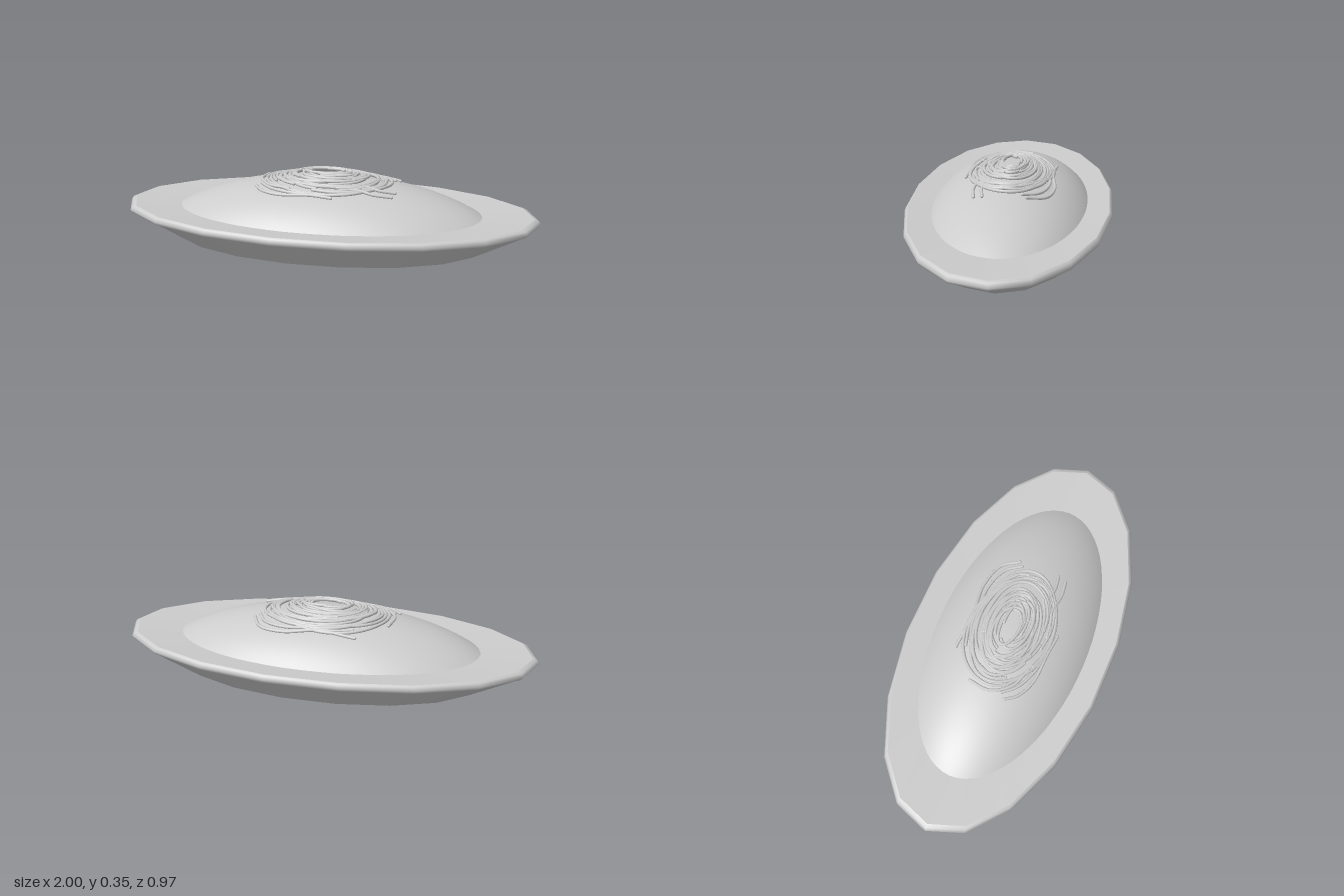
import * as THREE from 'three';

const material = new THREE.MeshStandardMaterial({ color: 0xcccccc, side: THREE.DoubleSide });
const DEPTH = 0.492; // plate depth relative to its width

// Dome height above the table at a point
const DOME = { a: 0.9, b: 0.387, top: 0.312, depth: 0.503 };
function domeY(x, z) {
  const u = Math.min(1, Math.hypot(x, z / DOME.depth) / DOME.a);
  return DOME.top - DOME.b * (1 - Math.sqrt(1 - u * u));
}

// Oval turned part from [radius, y] pairs, listed bottom to top
function oval(name, profile, sides, depth) {
  const points = profile.map(([r, y]) => new THREE.Vector2(r, y));
  const geometry = new THREE.LatheGeometry(points, sides, Math.PI / 2);
  geometry.scale(1, 1, depth);
  const mesh = new THREE.Mesh(geometry, material);
  mesh.name = name;
  return mesh;
}

function seeded(seed) {
  return () => {
    seed = (seed * 16807) % 2147483647;
    return seed / 2147483647;
  };
}

// One noodle through [x, z] points, resting on the dome; layer 0..1 is its place in the pile
const NOODLE = 0.0075;
function noodle(path, layer, segments) {
  const points = path.map(([x, z]) => {
    const pile = Math.max(0, 1 - (x / 0.34) ** 2 - (z / 0.23) ** 2);
    return new THREE.Vector3(x, domeY(x, z) + 0.004 + layer * (0.004 + 0.024 * pile), z);
  });
  const strand = new THREE.Group();
  strand.name = 'noodle';
  const curve = new THREE.CatmullRomCurve3(points);
  strand.add(new THREE.Mesh(new THREE.TubeGeometry(curve, segments, NOODLE, 8), material));
  for (const end of [points[0], points[points.length - 1]]) {
    const cap = new THREE.Mesh(new THREE.SphereGeometry(NOODLE, 8, 6), material);
    cap.position.copy(end);
    strand.add(cap);
  }
  return strand;
}

export function createModel() {
  const model = new THREE.Group();
  model.name = 'plateOfNoodles';

  // Faceted oval plate
  const plate = new THREE.Group();
  plate.name = 'plate';
  plate.add(
    oval('plateBottom', [[0, 0], [0.74, 0]], 18, DEPTH),
    oval('plateWall', [[0.74, 0], [0.975, 0.122]], 18, DEPTH),
    oval('plateRim', [[0.97, 0.12], [0.988, 0.126], [1, 0.141], [0.988, 0.156], [0.97, 0.162]], 18, DEPTH),
    oval('plateTop', [[0.6, 0.146], [0.97, 0.162]].reverse(), 18, DEPTH),
  );
  model.add(plate);

  // Smooth mound of food
  const profile = [];
  for (let i = 0; i <= 20; i++) {
    const r = 0.75 * (1 - i / 20);
    profile.push([r, domeY(r, 0)]);
  }
  model.add(oval('mound', profile, 64, DOME.depth));

  // Tangle of curled noodles: uneven arcs, the tight ones piled highest
  const noodles = new THREE.Group();
  noodles.name = 'noodles';
  const random = seeded(4711);
  const count = 30;
  for (let i = 0; i < count; i++) {
    const t = i / (count - 1);
    const rx = 0.29 - 0.2 * t, rz = 0.195 - 0.15 * t;
    const cx = (random() - 0.5) * 0.07, cz = (random() - 0.5) * 0.035;
    const start = random() * Math.PI * 2;
    const sweep = Math.PI * (0.9 + random() * 0.9);
    const tilt = (random() - 0.5) * 0.5;
    const drift = (random() - 0.5) * 0.25;
    const path = [];
    for (let k = 0; k <= 14; k++) {
      const a = start + (sweep * k) / 14;
      const s = 1 + drift * (k / 14 - 0.5) + 0.03 * Math.sin(3 * a + i);
      const x = rx * s * Math.cos(a), z = rz * s * Math.sin(a);
      path.push([
        THREE.MathUtils.clamp(cx + x * Math.cos(tilt) - z * Math.sin(tilt), -0.32, 0.3),
        THREE.MathUtils.clamp(cz + x * Math.sin(tilt) * 0.5 + z * Math.cos(tilt), -0.21, 0.205),
      ]);
    }
    noodles.add(noodle(path, 0.2 + 0.8 * t + 0.15 * (random() - 0.5), 56));
  }

  // Loose strands trailing over the edge of the tangle
  const loose = [
    [[-0.18, -0.21], [0, -0.2], [0.16, -0.215], [0.28, -0.18], [0.33, -0.1]],
    [[-0.05, -0.17], [0.14, -0.19], [0.26, -0.15], [0.31, -0.08]],
    [[-0.33, 0.1], [-0.29, 0.15], [-0.2, 0.19], [-0.05, 0.2], [0.05, 0.21]],
    [[0.05, 0.17], [0.15, 0.14], [0.24, 0.15], [0.32, 0.14]],
    [[0.08, 0.13], [0.18, 0.1], [0.26, 0.11], [0.33, 0.1]],
    [[-0.31, -0.08], [-0.32, 0.02], [-0.26, 0.11], [-0.16, 0.15]],
  ];
  for (const path of loose) noodles.add(noodle(path, 0.4, 40));
  model.add(noodles);

  return model;
}
